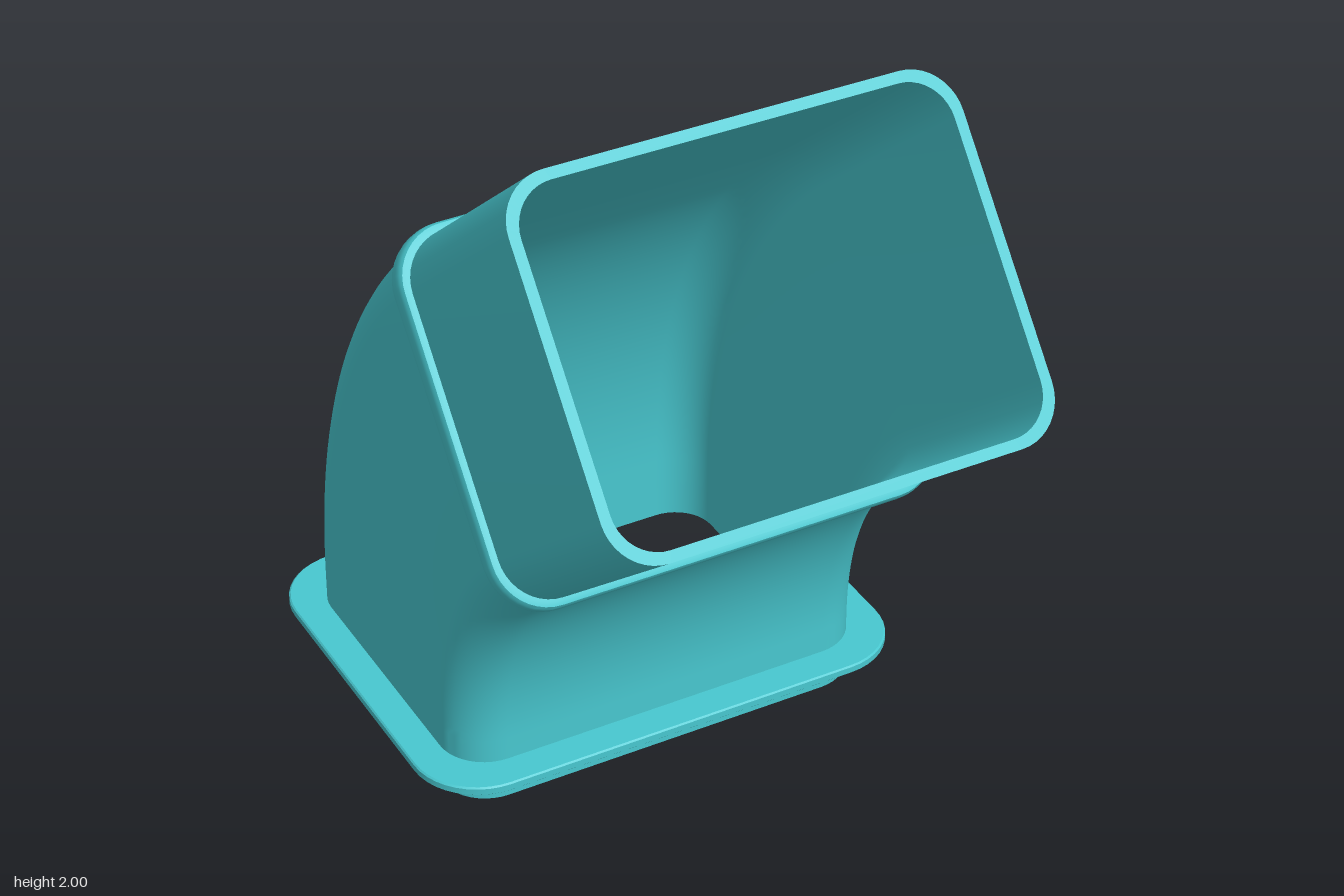
import * as THREE from 'three';
import { toCreasedNormals } from 'three/addons/utils/BufferGeometryUtils.js';

const HALF_W = 0.595, HALF_D = 0.4625, CORNER = 0.13, WALL = 0.028;
const BASE_Z = -0.3825;            // centre of the lower opening
const RISE = 0.185;                // straight run below the bend
const BEND_R = 1.3025, BEND = THREE.MathUtils.degToRad(50);
const BEND_END = RISE + BEND_R * BEND;
const LENGTH = BEND_END + 0.724;   // straight spout after the bend

// Centre and tilt of the duct at distance s along its path
function frameAt(s) {
  const a = THREE.MathUtils.clamp((s - RISE) / BEND_R, 0, BEND);
  const extra = s < RISE ? s - RISE : Math.max(0, s - BEND_END);
  return {
    a,
    y: RISE + BEND_R * Math.sin(a) + extra * Math.cos(a),
    z: BASE_Z + BEND_R * (1 - Math.cos(a)) + extra * Math.sin(a),
  };
}

// Rounded rectangle across the duct at s, grown outward by off
function ring(s, off) {
  const { a, y, z } = frameAt(s);
  const r = CORNER + off * 0.6, steps = 10, pts = [];
  const cx = HALF_W + off - r, cv = HALF_D + off - r;
  for (const [q, sx, sv] of [[0, 1, -1], [1, -1, -1], [2, -1, 1], [3, 1, 1]]) {
    for (let i = 0; i <= steps; i++) {
      const t = -(q + i / steps) * Math.PI / 2;
      const u = sx * cx + r * Math.cos(t), v = sv * cv + r * Math.sin(t);
      pts.push(u, y - v * Math.sin(a), z + v * Math.cos(a));
    }
  }
  return pts;
}

// Closed loop of [s, off] profile points carried round the duct
function ringLoop(profile, name, material) {
  const pos = profile.flatMap(([s, off]) => ring(s, off));
  const m = profile.length, n = pos.length / 3 / m, index = [];
  for (let j = 0; j < m; j++) {
    for (let i = 0; i < n; i++) {
      const k = (i + 1) % n, a = j * n, b = ((j + 1) % m) * n;
      index.push(a + i, a + k, b + k, a + i, b + k, b + i);
    }
  }
  const geo = new THREE.BufferGeometry();
  geo.setAttribute('position', new THREE.Float32BufferAttribute(pos, 3));
  geo.setIndex(index);
  const mesh = new THREE.Mesh(toCreasedNormals(geo, 0.7), material);
  mesh.name = name;
  return mesh;
}

export function createModel() {
  const group = new THREE.Group();
  group.name = 'ductElbow';
  const material = new THREE.MeshStandardMaterial({ color: 0x48c8d0 });

  // Hollow duct: outer wall upward, inner wall back down
  const stations = [0];
  for (let i = 0; i <= 32; i++) stations.push(RISE + (BEND_END - RISE) * i / 32);
  stations.push(LENGTH);
  const outer = stations.map(s => [s, 0]);
  const inner = stations.map(s => [s, -WALL]).reverse();
  group.add(ringLoop([...outer, ...inner], 'ductElbowWall', material));

  // Thin mounting flange near the base
  group.add(ringLoop([
    [0.095, -0.01], [0.095, 0.087], [0.099, 0.091],
    [0.116, 0.091], [0.12, 0.087], [0.12, -0.01],
  ], 'baseFlange', material));

  // Rounded collar bead where the bend meets the spout
  const bead = [[BEND_END - 0.037, -0.01]];
  for (let i = 0; i <= 8; i++) {
    const t = Math.PI * i / 8;
    bead.push([BEND_END - 0.037 * Math.cos(t), 0.006 + 0.018 * Math.sqrt(Math.sin(t))]);
  }
  bead.push([BEND_END + 0.037, -0.01]);
  group.add(ringLoop(bead, 'collar', material));

  return group;
}
